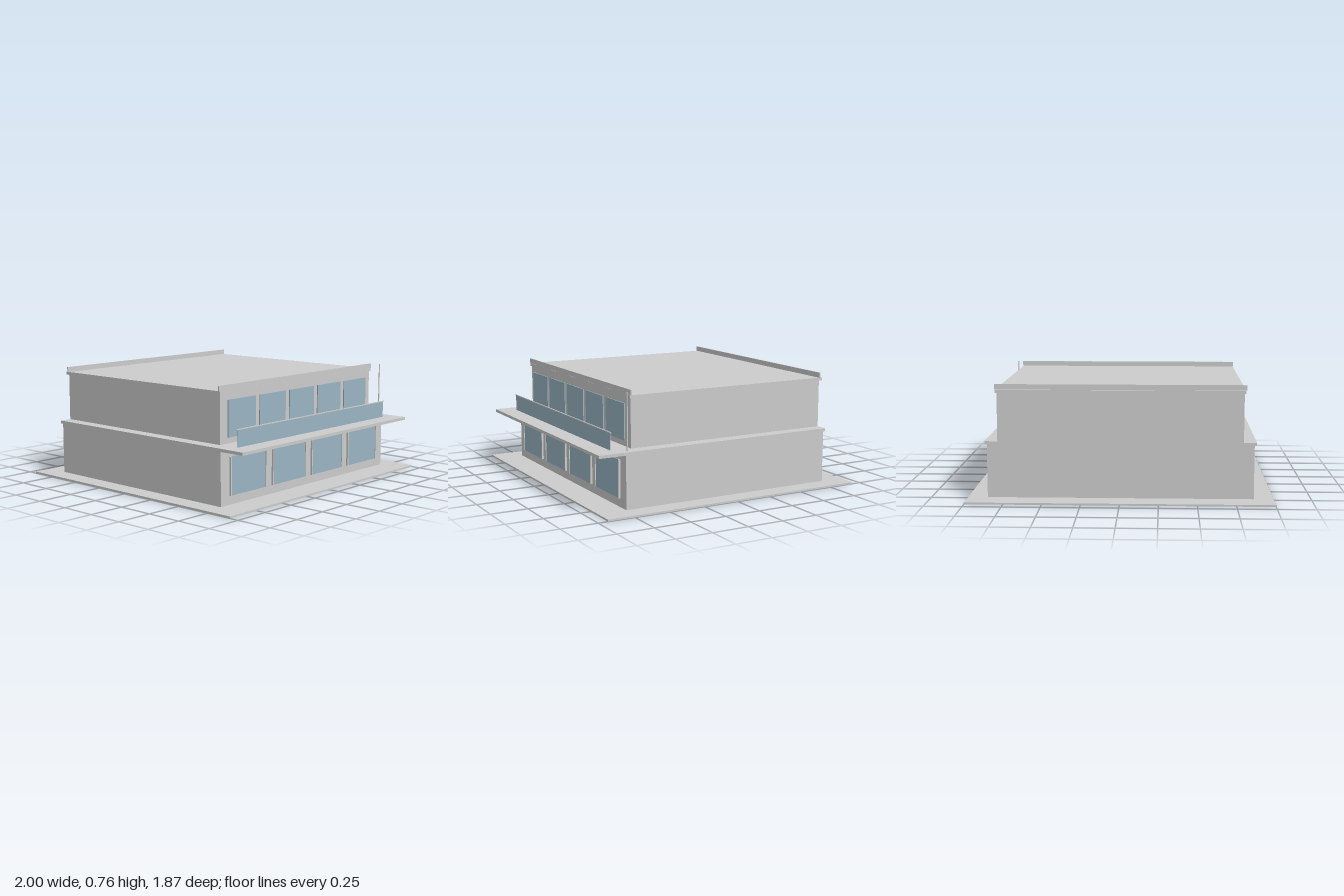
import * as THREE from 'three';

export function createModel() {
  const model = new THREE.Group();
  model.name = 'building';
  const grey = new THREE.MeshStandardMaterial({ color: 0xcccccc });
  const glass = new THREE.MeshStandardMaterial({ color: 0x9ab4c2 });

  // Box from its lower and upper limits on each axis
  function block(name, [x0, x1], [y0, y1], [z0, z1], material = grey) {
    const mesh = new THREE.Mesh(new THREE.BoxGeometry(x1 - x0, y1 - y0, z1 - z0), material);
    mesh.position.set((x0 + x1) / 2, (y0 + y1) / 2, (z0 + z1) / 2);
    mesh.name = name;
    model.add(mesh);
  }
  const wide = (half) => [-half, half];
  const around = (centre, width) => [centre - width / 2, centre + width / 2];

  // Ground plate, two storeys and their slabs
  block('groundPlate', wide(1), [0, 0.012], wide(0.935));
  block('lowerStorey', wide(0.87), [0.012, 0.365], [-0.775, 0.742]);
  block('balconySlab', wide(0.885), [0.365, 0.385], [-0.78, 0.935]);
  block('upperStorey', wide(0.8), [0.385, 0.705], [-0.78, 0.672]);
  block('roofSlab', wide(0.81), [0.705, 0.725], [-0.797, 0.68]);

  // Parapets along the front and back of the roof
  block('frontParapet', wide(0.815), [0.725, 0.76], [0.671, 0.679]);
  block('backParapet', wide(0.815), [0.725, 0.76], [-0.782, -0.772]);

  // Ground floor windows with a post at each side
  for (let i = 0; i < 4; i++) {
    const x = (i - 1.5) * 0.411;
    block('lowerWindow', around(x, 0.34), [0.07, 0.32], [0.742, 0.75], glass);
    for (const side of [-1, 1]) {
      block('windowPost', around(x + side * 0.17, 0.008), [0.07, 0.32], [0.742, 0.755]);
    }
  }

  // Upper floor windows
  for (let i = 0; i < 5; i++) {
    block('upperWindow', around((i - 2) * 0.304, 0.262), [0.425, 0.665], [0.68, 0.687], glass);
  }

  // Glass balcony railing with a top rail
  block('railingGlass', wide(0.785), [0.385, 0.496], [0.806, 0.81], glass);
  block('railingTop', wide(0.797), [0.495, 0.501], [0.804, 0.812]);

  // Slim pole on the balcony corner
  const pole = new THREE.Mesh(new THREE.CylinderGeometry(0.004, 0.004, 0.37, 12), grey);
  pole.position.set(0.855, 0.57, 0.725);
  pole.name = 'pole';
  model.add(pole);

  return model;
}
